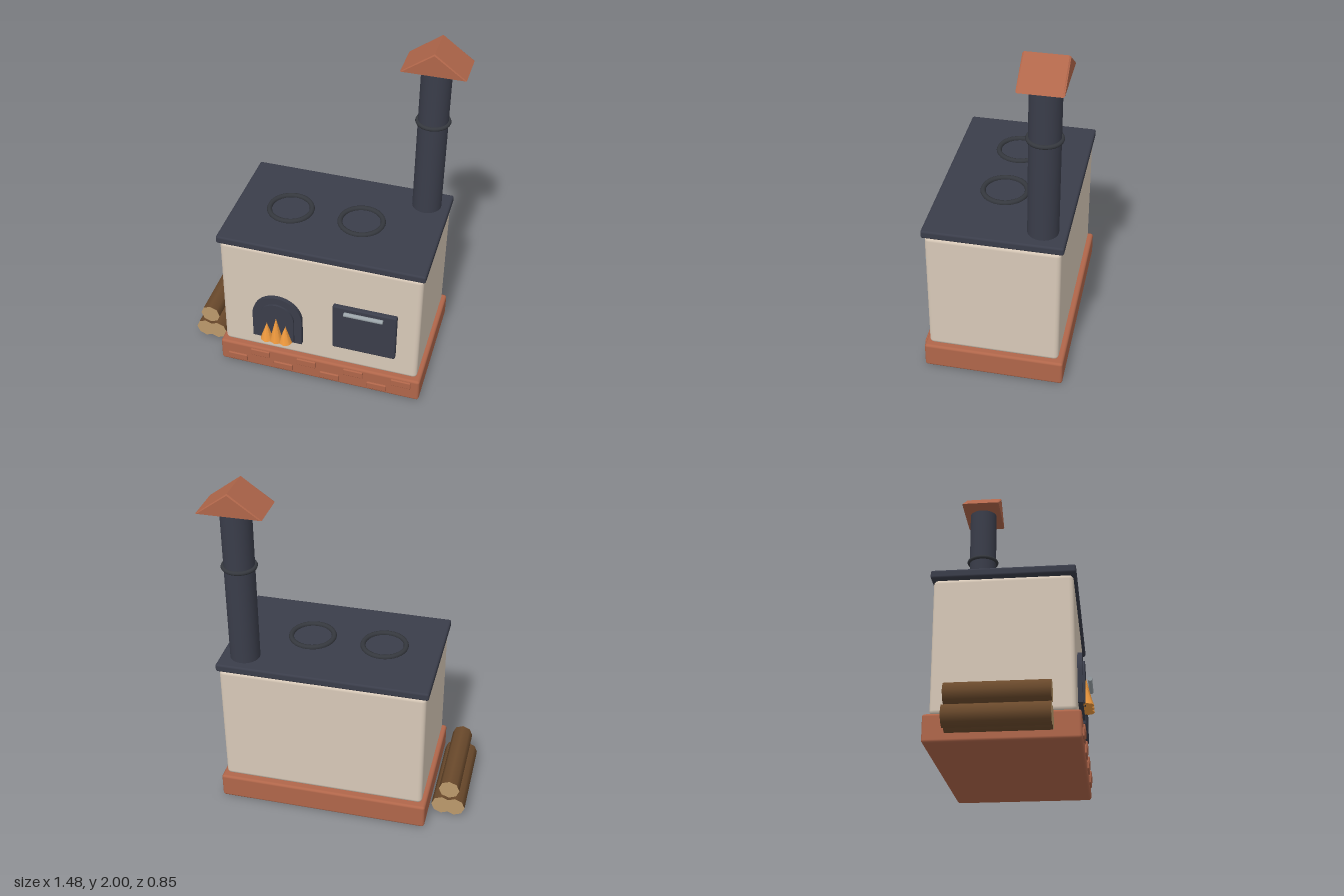
import * as THREE from 'three';
import { RoundedBoxGeometry } from 'three/addons/geometries/RoundedBoxGeometry.js';

const mat = (color, extra = {}) => new THREE.MeshStandardMaterial({ color, ...extra });

export function createModel() {
  const root = new THREE.Group();
  const brick = mat(0xb0664a), iron = mat(0x3a3d4a), ringIron = mat(0x35383e);
  const plaster = mat(0xd8c9b8), flameMat = mat(0xf09a3e), steel = mat(0x9aa3a8);
  const bark = mat(0x6b4a2c), cutWood = mat(0xbc9a6c);

  const add = (name, geometry, material, x = 0, y = 0, z = 0) => {
    const mesh = new THREE.Mesh(geometry, material);
    mesh.name = name;
    mesh.position.set(x, y, z);
    root.add(mesh);
    return mesh;
  };
  // Rounded box given by its extents on each axis
  const box = (name, material, [x0, x1], [y0, y1], [z0, z1], r) =>
    add(name, new RoundedBoxGeometry(x1 - x0, y1 - y0, z1 - z0, 2, r), material,
      (x0 + x1) / 2, (y0 + y1) / 2, (z0 + z1) / 2);

  // Main masses
  box('brickBase', brick, [-0.525, 0.705], [0, 0.15], [-0.425, 0.37], 0.015);
  box('stoveBody', plaster, [-0.5, 0.68], [0.15, 0.9], [-0.395, 0.345], 0.025);
  box('cookTop', iron, [-0.515, 0.692], [0.903, 0.95], [-0.41, 0.36], 0.012);

  // Raised bricks in two staggered rows
  for (let i = 0; i < 4; i++) {
    const upper = -0.332 + i * 0.289, lower = -0.477 + i * 0.289;
    box('upperBrick', brick, [upper, upper + 0.12], [0.088, 0.135], [0.34, 0.38], 0.006);
    box('lowerBrick', brick, [lower, lower + 0.12], [0.023, 0.07], [0.34, 0.38], 0.006);
  }

  // Arched firebox: surround and inner panel
  const arch = (name, r, bottom, z0, z1) => {
    const s = new THREE.Shape();
    s.moveTo(-r, bottom);
    s.lineTo(r, bottom);
    s.lineTo(r, 0.43);
    s.absarc(0, 0.43, r, 0, Math.PI, false);
    s.closePath();
    const g = new THREE.ExtrudeGeometry(s, { depth: z1 - z0, bevelEnabled: false, curveSegments: 20 });
    add(name, g, iron, -0.16, 0, z0);
  };
  arch('fireboxSurround', 0.15, 0.258, 0.335, 0.37);
  arch('fireboxOpening', 0.105, 0.27, 0.36, 0.382);

  // Flames
  for (const [x, h] of [[-0.218, 0.12], [-0.16, 0.17], [-0.104, 0.12]])
    add('flame', new THREE.ConeGeometry(0.04, h, 8), flameMat, x, 0.27 + h / 2, 0.385);

  // Oven door and handle
  box('ovenDoor', iron, [0.175, 0.55], [0.295, 0.615], [0.33, 0.37], 0.01);
  add('ovenHandle', new THREE.CylinderGeometry(0.013, 0.013, 0.226, 12), steel, 0.363, 0.594, 0.395)
    .rotation.z = Math.PI / 2;

  // Hob rings
  for (const x of [-0.187, 0.237])
    add('hobRing', new THREE.TorusGeometry(0.124, 0.015, 8, 32), ringIron, x, 0.955, -0.005)
      .rotation.x = Math.PI / 2;

  // Chimney pipe, collar and gabled cap
  add('chimneyPipe', new THREE.CylinderGeometry(0.085, 0.085, 0.95, 24), iron, 0.557, 1.405, -0.277);
  add('chimneyCollar', new THREE.TorusGeometry(0.088, 0.012, 8, 28), ringIron, 0.557, 1.528, -0.277)
    .rotation.x = Math.PI / 2;
  const gable = new THREE.Shape([
    new THREE.Vector2(-0.178, 0), new THREE.Vector2(0.178, 0), new THREE.Vector2(0, 0.13)]);
  add('chimneyCap', new THREE.ExtrudeGeometry(gable, {
    depth: 0.219, bevelThickness: 0.008, bevelSize: 0.006, bevelOffset: -0.006, bevelSegments: 1,
  }), brick, 0.557, 1.87, -0.387);

  // Stacked firewood
  for (const [x, y] of [[-0.68, 0.08], [-0.604, 0.08], [-0.643, 0.205]])
    add('log', new THREE.CylinderGeometry(0.06, 0.06, 0.53, 8), [bark, cutWood, cutWood], x, y, -0.031)
      .rotation.x = Math.PI / 2;

  return root;
}
